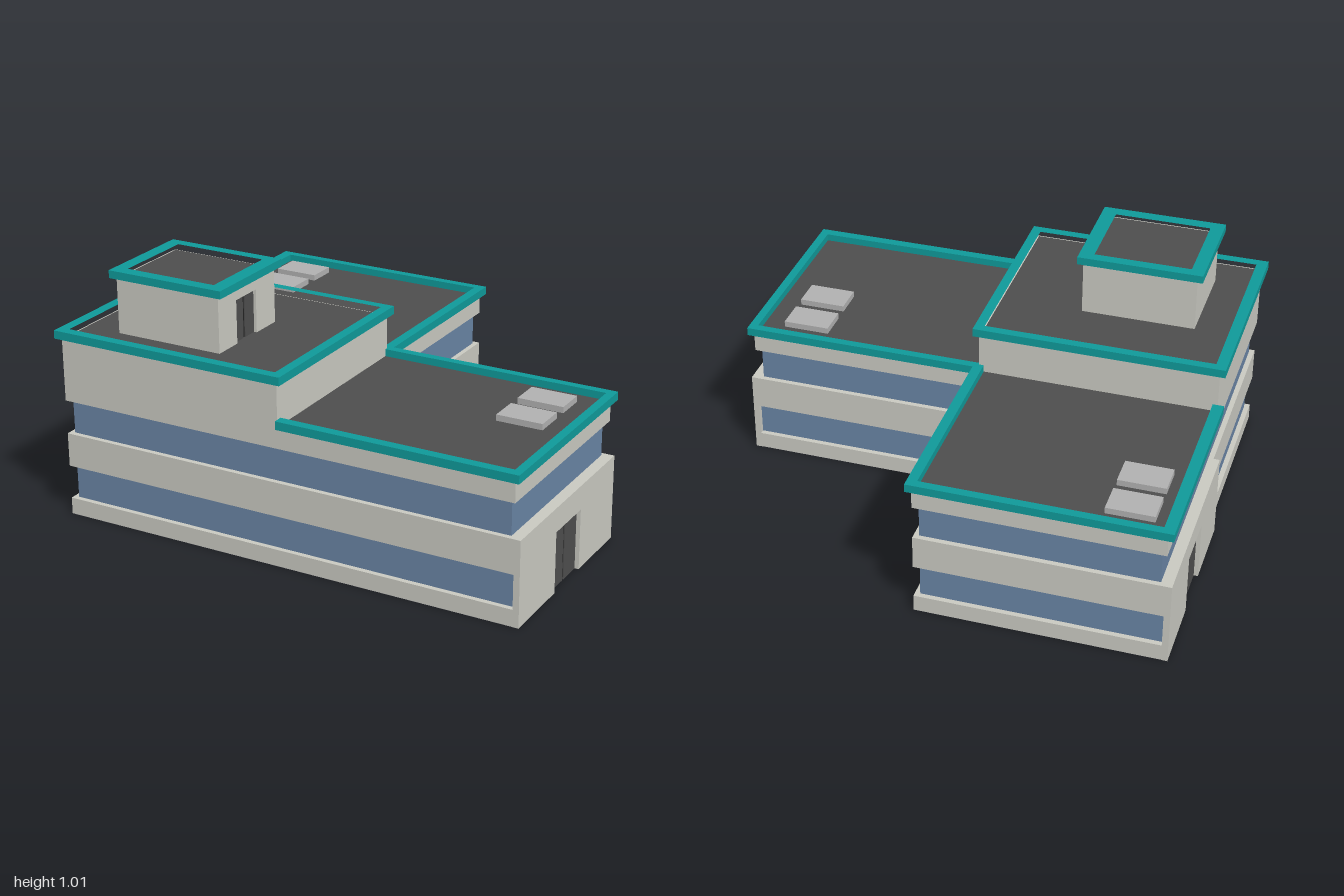
import * as THREE from 'three';

const mat = (color) => new THREE.MeshStandardMaterial({ color });
const WALL = mat(0xc8c8c0), GLASS = mat(0x6883a3), TRIM = mat(0x0f9999);
const DARK = mat(0x4d4d4d), GAP = mat(0x222222), GREY = mat(0xb0b0b0);

// Box given by its limits on each axis
function box(parent, name, material, [x0, x1], [y0, y1], [z0, z1]) {
  const mesh = new THREE.Mesh(new THREE.BoxGeometry(x1 - x0, y1 - y0, z1 - z0), material);
  mesh.position.set((x0 + x1) / 2, (y0 + y1) / 2, (z0 + z1) / 2);
  mesh.name = name;
  parent.add(mesh);
  return mesh;
}

// Upright prism over a plan of [x, z] points, with an optional hole
function prism(parent, name, material, plan, y0, y1, hole) {
  const toVec = ([x, z]) => new THREE.Vector2(x, -z);
  const shape = new THREE.Shape(plan.map(toVec));
  if (hole) shape.holes.push(new THREE.Path(hole.map(toVec)));
  const geo = new THREE.ExtrudeGeometry(shape, { depth: y1 - y0, bevelEnabled: false });
  geo.rotateX(-Math.PI / 2).translate(0, y0, 0);
  const mesh = new THREE.Mesh(geo, material);
  mesh.name = name;
  parent.add(mesh);
  return mesh;
}

const rect = (x0, x1, z0, z1) => [[x0, z0], [x1, z0], [x1, z1], [x0, z1]];

// L-shaped footprint, set in by i on every side
const footprint = (i) => [
  [-0.975 + i, -0.84 + i], [-i, -0.84 + i], [-i, i],
  [0.975 - i, i], [0.975 - i, 0.84 - i], [-0.975 + i, 0.84 - i],
];

// Wall slab facing +x with a double door set into an opening
function doorWall(parent, name, [x0, x1], [y0, y1], [z0, z1], [d0, d1], doorTop) {
  const g = new THREE.Group();
  g.name = name;
  box(g, 'wallBesideDoor', WALL, [x0, x1], [y0, y1], [z0, d0]);
  box(g, 'wallBesideDoor', WALL, [x0, x1], [y0, y1], [d1, z1]);
  box(g, 'doorLintel', WALL, [x0, x1], [doorTop, y1], [d0, d1]);
  const mid = (d0 + d1) / 2, gap = 0.006;
  box(g, 'doorLeaf', DARK, [x0, x0 + 0.008], [y0, doorTop], [d0, mid - gap]);
  box(g, 'doorLeaf', DARK, [x0, x0 + 0.008], [y0, doorTop], [mid + gap, d1]);
  box(g, 'doorGap', GAP, [x0, x0 + 0.004], [y0, doorTop], [mid - gap, mid + gap]);
  parent.add(g);
  return g;
}

export function createModel() {
  const model = new THREE.Group();
  model.name = 'officeBuilding';

  // Floor slab, wall bands and the window strips set back between them
  prism(model, 'floorSlab', GREY, footprint(0.001), 0, 0.004);
  const bands = [[0.002, 0.07], [0.21, 0.35], [0.49, 0.573]];
  bands.forEach(([a, b]) => prism(model, 'wallBand', WALL, footprint(0), a, b));
  const strips = [[0.07, 0.21], [0.35, 0.49]];
  strips.forEach(([a, b]) => prism(model, 'windowStrip', GLASS, footprint(0.021), a, b));

  // Each low wing: entrance wall at its end and two roof hatches
  for (const turn of [0, Math.PI]) {
    const wing = new THREE.Group();
    wing.name = turn ? 'backWing' : 'sideWing';
    wing.rotation.y = turn;
    doorWall(wing, 'entranceWall', [0.975, 1], [0, 0.35], [0, 0.84], [0.31, 0.53], 0.25);
    box(wing, 'windowStripEnd', GLASS, [0.95, 0.975], [0.07, 0.21], [0.021, 0.819]);
    model.add(wing);
  }
  const hatches = [[0.68, 0.08], [0.68, 0.265], [-0.91, -0.77], [-0.91, -0.59]];
  for (const [x, z] of hatches) {
    box(model, 'roofHatch', GREY, [x, x + 0.19], [0.573, 0.602], [z, z + 0.127]);
  }

  // Low roofs with a trim running round their three open sides
  prism(model, 'sideRoof', DARK, rect(0, 0.97, 0.005, 0.83), 0.57, 0.577);
  prism(model, 'backRoof', DARK, rect(-0.97, -0.005, -0.83, 0), 0.57, 0.577);
  prism(model, 'sideRoofTrim', TRIM, [
    [0, -0.022], [0.995, -0.022], [0.995, 0.855], [0, 0.855],
    [0, 0.815], [0.96, 0.815], [0.96, 0.012], [0, 0.012],
  ], 0.573, 0.607);
  prism(model, 'backRoofTrim', TRIM, [
    [-1, 0], [-1, -0.86], [0.02, -0.86], [0.02, 0],
    [-0.02, 0], [-0.02, -0.825], [-0.955, -0.825], [-0.955, 0],
  ], 0.573, 0.607);

  // Raised corner block
  box(model, 'upperBlock', WALL, [-0.975, 0], [0.57, 0.75], [0, 0.84]);
  prism(model, 'upperRoof', DARK, rect(-0.965, -0.01, 0.01, 0.83), 0.745, 0.753);
  prism(model, 'upperRoofTrim', TRIM, rect(-1, 0.02, -0.022, 0.855), 0.75, 0.784,
    rect(-0.955, -0.02, 0.015, 0.815));

  // Stair tower with its own door and roof
  box(model, 'towerBlock', WALL, [-0.81, -0.365], [0.75, 0.98], [0.29, 0.69]);
  doorWall(model, 'towerDoorWall', [-0.365, -0.345], [0.75, 0.98], [0.29, 0.69], [0.425, 0.565], 0.93);
  prism(model, 'towerRoof', DARK, rect(-0.8, -0.36, 0.3, 0.68), 0.975, 0.983);
  prism(model, 'towerRoofTrim', TRIM, rect(-0.835, -0.325, 0.267, 0.705), 0.98, 1.012,
    rect(-0.78, -0.385, 0.31, 0.655));

  return model;
}
